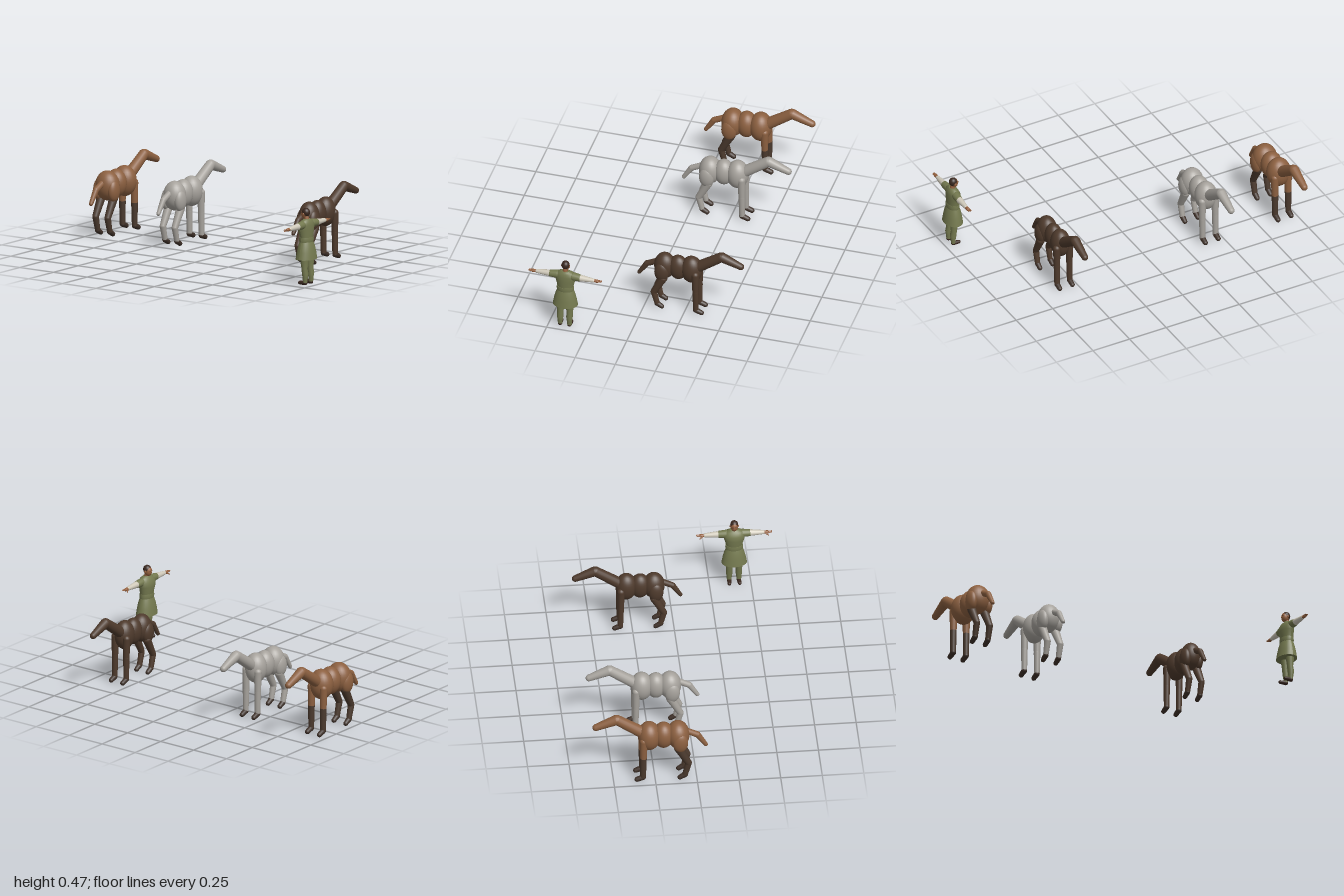
import * as THREE from 'three';

const mat = (name, color) => Object.assign(new THREE.MeshStandardMaterial({ color }), { name });
const M = {
  bay: mat('bay coat', 0x8c6040),
  grey: mat('grey coat', 0xa6a29c),
  dark: mat('dark coat', 0x4e3a2c),
  points: mat('dark legs', 0x4a392d),
  hoof: mat('hoof', 0x3e3028),
  cloth: mat('green cloth', 0x74794f),
  cream: mat('cream sleeve', 0xcfc9ba),
  skin: mat('skin', 0x95613f),
  hair: mat('hair and leather', 0x3a281f),
};

const V = (x, y, z) => new THREE.Vector3(x, y, z);

function add(group, name, geo, material) {
  const m = new THREE.Mesh(geo, material);
  m.name = name;
  group.add(m);
  return m;
}

// tapered capsule from a to b
function limb(group, name, material, a, b, ra, rb) {
  const d = b.clone().sub(a), len = d.length(), pts = [];
  for (let i = 0; i <= 6; i++) {
    const t = -Math.PI / 2 + (i / 6) * Math.PI / 2;
    pts.push(new THREE.Vector2(Math.cos(t) * ra, Math.sin(t) * ra));
  }
  for (let i = 0; i <= 6; i++) {
    const t = (i / 6) * Math.PI / 2;
    pts.push(new THREE.Vector2(Math.cos(t) * rb, len + Math.sin(t) * rb));
  }
  pts[0].x = pts[pts.length - 1].x = 0;
  const m = add(group, name, new THREE.LatheGeometry(pts, 18), material);
  m.position.copy(a);
  m.quaternion.setFromUnitVectors(V(0, 1, 0), d.normalize());
  return m;
}

function ball(group, name, material, c, rx, ry, rz) {
  const m = add(group, name, new THREE.SphereGeometry(1, 28, 18), material);
  m.position.copy(c);
  m.scale.set(rx, ry, rz);
  return m;
}

// elliptical loft, rings from top to bottom: [y, centre x, radius x, radius z]
function loft(group, name, material, rings, z = 0) {
  const geo = new THREE.CylinderGeometry(1, 1, 1, 28, rings.length - 1);
  const p = geo.attributes.position;
  for (let i = 0; i < p.count; i++) {
    const r = rings[Math.round((0.5 - p.getY(i)) * (rings.length - 1))];
    p.setXYZ(i, r[1] + p.getX(i) * r[2], r[0], z + p.getZ(i) * r[3]);
  }
  geo.computeVertexNormals();
  return add(group, name, geo, material);
}

// horse facing -z; w widens the body, s scales the whole animal
function horse(name, coat, lower, x, w, s) {
  const g = new THREE.Group();
  g.name = name;
  // z is measured from the middle of the horse
  const P = (px, y, z) => V(px, y, z + 0.28);
  ball(g, 'chest', coat, P(0, 0.295, -0.283), 0.059 * w, 0.09, 0.066);
  ball(g, 'belly', coat, P(0, 0.295, -0.2), 0.052 * w, 0.082, 0.06);
  ball(g, 'rump', coat, P(0, 0.293, -0.117), 0.06 * w, 0.087, 0.066);
  limb(g, 'neck', coat, P(0, 0.305, -0.3), P(0, 0.42, -0.468), 0.035, 0.03);
  limb(g, 'head', coat, P(0, 0.42, -0.473), P(0, 0.374, -0.59), 0.03, 0.02);
  limb(g, 'tailRoot', coat, P(0, 0.32, -0.08), P(0, 0.283, -0.005), 0.018, 0.018);
  limb(g, 'tail', coat, P(0, 0.283, -0.005), P(0, 0.21, 0.043), 0.018, 0.012);
  for (const side of [-1, 1]) {
    const k = 0.043 * side;
    limb(g, 'frontUpperLeg', coat, P(k, 0.285, -0.318), P(k, 0.16, -0.32), 0.023, 0.019);
    limb(g, 'frontLowerLeg', lower, P(k, 0.165, -0.32), P(k, 0.032, -0.322), 0.0195, 0.0165);
    limb(g, 'frontHoof', M.hoof, P(k, 0.03, -0.322), P(k, 0.016, -0.357), 0.0168, 0.0145);
    ball(g, 'haunch', coat, P(0.042 * side * w, 0.268, -0.108), 0.03, 0.065, 0.045);
    limb(g, 'hindUpperLeg', lower, P(k, 0.225, -0.118), P(k, 0.115, -0.06), 0.026, 0.019);
    limb(g, 'hindLowerLeg', lower, P(k, 0.115, -0.06), P(k, 0.035, -0.08), 0.019, 0.016);
    limb(g, 'hindHoof', M.hoof, P(k, 0.033, -0.08), P(k, 0.015, -0.11), 0.0163, 0.014);
  }
  g.scale.setScalar(s);
  g.position.set(x, 0, -0.28);
  return g;
}

// standing figure facing -x, arms spread along z
function person() {
  const g = new THREE.Group();
  g.name = 'person';
  loft(g, 'tunic', M.cloth, [
    [0.4, 0.003, 0.018, 0.026], [0.387, 0.002, 0.03, 0.055], [0.365, -0.002, 0.038, 0.066],
    [0.335, -0.003, 0.04, 0.061], [0.295, 0, 0.035, 0.05], [0.255, 0, 0.034, 0.049],
  ]);
  loft(g, 'belt', M.cloth, [
    [0.29, 0, 0.037, 0.052], [0.275, 0, 0.039, 0.054], [0.262, 0, 0.037, 0.052],
  ]);
  const skirt = loft(g, 'skirt', M.cloth, [
    [0.262, 0, 0.036, 0.05], [0.235, 0, 0.045, 0.06], [0.2, 0, 0.052, 0.069], [0.157, 0, 0.058, 0.077],
  ]);
  skirt.geometry.computeVertexNormals();
  for (const s of [-1, 1]) {
    // arms
    limb(g, 'shoulder', M.cloth, V(0.003, 0.368, 0.05 * s), V(0.005, 0.366, 0.088 * s), 0.025, 0.022);
    limb(g, 'sleeve', M.cream, V(0.005, 0.366, 0.095 * s), V(0.005, 0.364, 0.175 * s), 0.0205, 0.0125);
    const palm = limb(g, 'hand', M.skin, V(0.005, 0.364, 0.183 * s), V(0.005, 0.363, 0.2 * s), 0.009, 0.01);
    palm.scale.x = 1.1;
    for (let i = 0; i < 4; i++) {
      const fx = 0.005 + (i - 1.5) * 0.005;
      limb(g, 'finger', M.skin, V(fx, 0.364, 0.202 * s), V(fx, 0.365, (0.227 - Math.abs(i - 1.5) * 0.002) * s), 0.0035, 0.0025);
    }
    limb(g, 'thumb', M.skin, V(-0.004, 0.36, 0.19 * s), V(-0.012, 0.352, 0.207 * s), 0.004, 0.003);
    // legs
    loft(g, 'trouserLeg', M.cloth, [
      [0.19, 0.004, 0.025, 0.026], [0.14, 0.006, 0.023, 0.024], [0.1, 0.007, 0.018, 0.019],
      [0.07, 0.012, 0.02, 0.02], [0.04, 0.012, 0.015, 0.016], [0.015, 0.012, 0.013, 0.014],
    ], 0.029 * s);
    const shoe = limb(g, 'shoe', M.hair, V(0.012, 0.0115, 0.029 * s), V(-0.026, 0.01, 0.031 * s), 0.0135, 0.011);
    shoe.position.y = 0.0135;
    // face details
    ball(g, 'ear', M.skin, V(-0.005, 0.43, 0.024 * s), 0.006, 0.009, 0.004);
    ball(g, 'eye', M.hair, V(-0.031, 0.435, 0.009 * s), 0.003, 0.0025, 0.004);
  }
  // head
  limb(g, 'neck', M.skin, V(0.003, 0.385, 0), V(-0.003, 0.415, 0), 0.017, 0.015);
  ball(g, 'head', M.skin, V(-0.01, 0.429, 0), 0.024, 0.031, 0.022);
  ball(g, 'nose', M.skin, V(-0.034, 0.427, 0), 0.006, 0.006, 0.004);
  ball(g, 'hair', M.hair, V(-0.003, 0.439, 0), 0.025, 0.027, 0.024);
  g.position.set(0.94, 0, 0.4);
  return g;
}

export function createModel() {
  const root = new THREE.Group();
  root.name = 'horsesAndKeeper';
  root.add(horse('bayHorse', M.bay, M.points, -0.912, 1.22, 1.045));
  root.add(horse('greyHorse', M.grey, M.grey, -0.415, 1.13, 1.03));
  root.add(horse('darkHorse', M.dark, M.dark, 0.58, 1, 1));
  root.add(person());
  return root;
}
